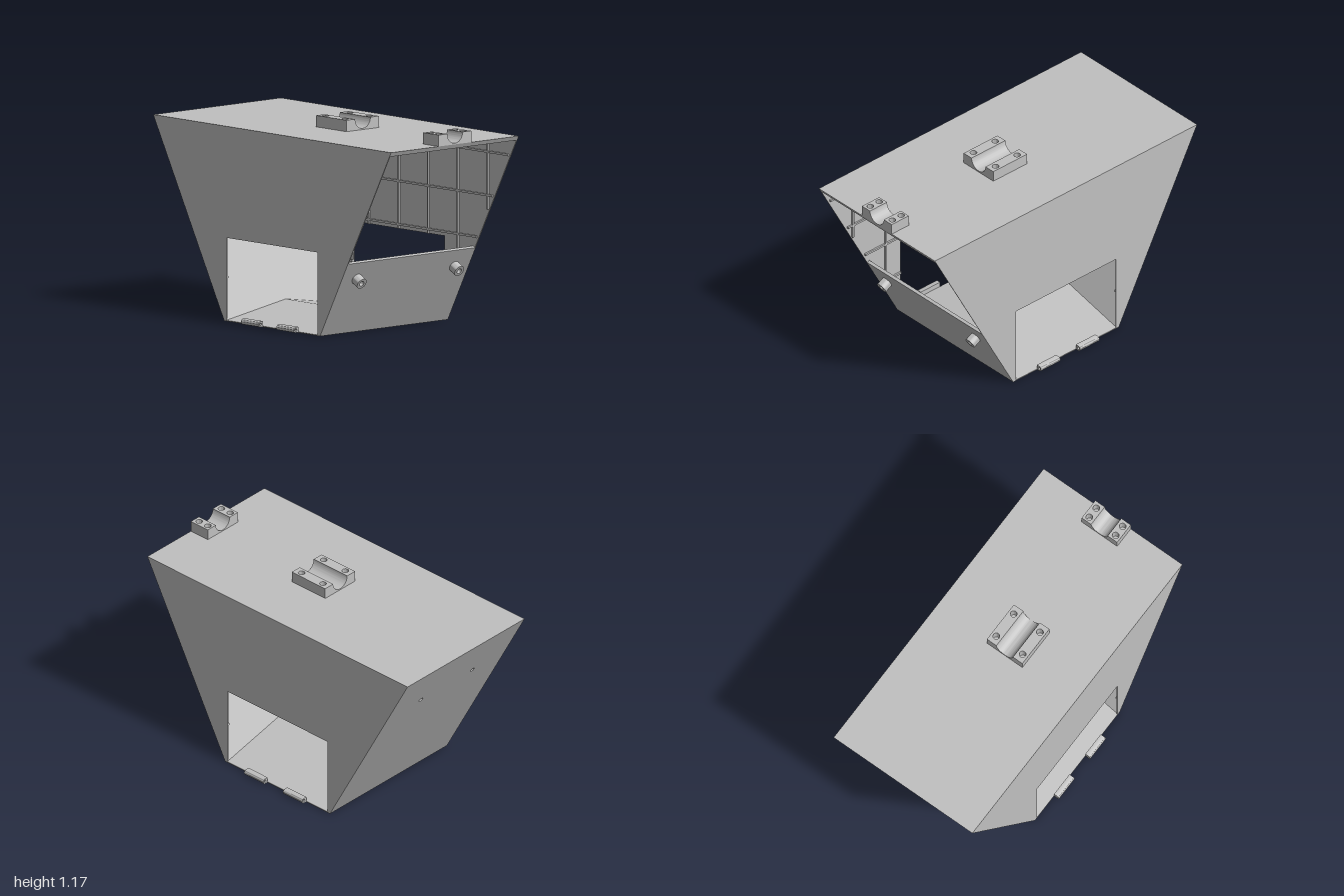
import * as THREE from 'three';
import { toCreasedNormals } from 'three/addons/utils/BufferGeometryUtils.js';

const H = 1.11, BASE = 0.403, TOP = 1.0, HALF_Z = 0.485;
const SLOPE = (TOP - BASE) / H;
const SLANT = Math.hypot(TOP - BASE, H);
const WALL = 0.006, OPEN_X = 0.383, OPEN_Y = 0.475;
const halfWidth = (y) => BASE + SLOPE * y;

export function createModel() {
  const model = new THREE.Group();
  const grey = new THREE.MeshStandardMaterial({ color: 0xc0c0c0 });
  grey.name = 'plain grey';

  const add = (parent, name, geometry, x = 0, y = 0, z = 0) => {
    const mesh = new THREE.Mesh(geometry, grey);
    mesh.name = name;
    mesh.position.set(x, y, z);
    parent.add(mesh);
    return mesh;
  };
  const polygon = (points) => new THREE.Shape(points.map(([x, y]) => new THREE.Vector2(x, y)));
  const rect = (x0, y0, x1, y1) => polygon([[x0, y0], [x1, y0], [x1, y1], [x0, y1]]);
  const hole = (x, y, r) => new THREE.Path().absarc(x, y, r, 0, Math.PI * 2, true);
  const extrude = (shape, depth) => toCreasedNormals(
    new THREE.ExtrudeGeometry(shape, { depth, bevelEnabled: false, curveSegments: 24 }), 0.6);
  // Profile drawn in (z, y), extruded along x and centred
  const extrudeX = (shape, length) =>
    extrude(shape, length).translate(0, 0, -length / 2).rotateY(-Math.PI / 2);

  // Front and back: trapezoid wall with doorway, ribs and hinge knuckles
  function addFace(name, turn) {
    const face = new THREE.Group();
    face.name = name;
    face.rotation.y = turn;
    model.add(face);
    const wall = polygon([
      [-BASE, 0], [-OPEN_X, 0], [-OPEN_X, OPEN_Y], [OPEN_X, OPEN_Y],
      [OPEN_X, 0], [BASE, 0], [TOP, H], [-TOP, H],
    ]);
    add(face, 'trapezoidWall', extrude(wall, WALL), 0, 0, HALF_Z - WALL);

    const ribZ = HALF_Z - WALL - 0.005, w = 0.012;
    for (let i = -3; i <= 3; i++) {
      const x = i * 0.25;
      const y0 = Math.abs(x) > OPEN_X ? (Math.abs(x) - BASE) / SLOPE + 0.02 : OPEN_Y;
      add(face, 'verticalRib', new THREE.BoxGeometry(w, 1.09 - y0, 0.01), x, (1.09 + y0) / 2, ribZ);
    }
    for (const y of [0.5, 0.747, 0.995]) {
      add(face, 'horizontalRib', new THREE.BoxGeometry(2 * halfWidth(y) - 0.03, w, 0.01), 0, y, ribZ);
    }
    const reach = halfWidth(0.25) - 0.015;
    for (const s of [-1, 1]) {
      add(face, 'shortRib', new THREE.BoxGeometry(reach - OPEN_X, w, 0.01),
        s * (reach + OPEN_X) / 2, 0.25, ribZ);
      const knuckle = new THREE.Shape();
      knuckle.moveTo(-0.02, 0.002);
      knuckle.lineTo(0, 0.002);
      knuckle.absarc(0, 0.018, 0.016, -Math.PI / 2, Math.PI / 2, false);
      knuckle.lineTo(-0.02, 0.034);
      knuckle.holes.push(hole(0, 0.018, 0.008));
      // The profile's first axis must point outward along +z
      add(face, 'hingeKnuckle', extrudeX(knuckle, 0.147), s * 0.149, 0, HALF_Z + 0.02);
    }
  }
  addFace('frontFace', 0);
  addFace('backFace', Math.PI);

  // Sloped sides: local x runs along z, local y climbs the slope, local z points inward
  function addSide(name, turn, length, drilled) {
    const side = new THREE.Group();
    side.name = name;
    side.rotation.y = turn;
    model.add(side);
    const up = new THREE.Vector3(TOP - BASE, H, 0).normalize();
    const along = new THREE.Vector3(0, 0, 1);
    const inward = new THREE.Vector3().crossVectors(along, up);
    const panel = new THREE.Group();
    panel.name = name + 'Panel';
    panel.quaternion.setFromRotationMatrix(new THREE.Matrix4().makeBasis(along, up, inward));
    panel.position.x = BASE;
    side.add(panel);
    const sheet = rect(-HALF_Z + 0.001, 0, HALF_Z - 0.001, length);
    if (drilled) for (const z of [-0.213, 0.213]) sheet.holes.push(hole(z, 0.83 * SLANT / H, 0.015));
    add(panel, 'slopedSheet', extrude(sheet, 0.018));
    return panel;
  }
  addSide('rightSide', Math.PI, SLANT - 0.022, true);
  const lowerPanel = addSide('leftSide', 0, 0.435 * SLANT / H, false);

  // Hollow pegs standing square to the lower panel
  for (const z of [-0.37, 0.37]) {
    const ring = new THREE.Shape().absarc(0, 0, 0.033, 0, Math.PI * 2, false);
    ring.holes.push(hole(0, 0, 0.016));
    add(lowerPanel, 'hollowPeg', extrude(ring, 0.052), z, 0.335 * SLANT / H, -0.05);
  }

  // Lid with slanted ends
  const low = 1.085;
  const lid = polygon([[-halfWidth(low), low], [halfWidth(low), low], [TOP, H], [-TOP, H]]);
  add(model, 'topPlate', extrude(lid, 2 * HALF_Z), 0, 0, -HALF_Z);

  // Floor with a low central ridge, ends widened to follow the sloped sides
  const floor = polygon([[-HALF_Z, 0], [HALF_Z, 0], [HALF_Z, 0.005], [0, 0.075], [-HALF_Z, 0.005]]);
  const floorGeometry = extrudeX(floor, 2 * BASE - 0.004);
  const p = floorGeometry.attributes.position;
  for (let i = 0; i < p.count; i++) p.setX(i, p.getX(i) + Math.sign(p.getX(i)) * p.getY(i) * SLOPE);
  floorGeometry.deleteAttribute('normal');
  add(model, 'ridgedFloor', toCreasedNormals(floorGeometry, 0.05));

  // Saddle brackets on the lid: half-round cradle between two drilled blocks
  function addSaddle(x0, x1, holeXs) {
    const saddle = new THREE.Group();
    saddle.name = 'saddleBracket';
    saddle.position.y = H;
    model.add(saddle);
    const r = 0.058, h = 0.065;
    const cradle = new THREE.Shape();
    cradle.moveTo(-r, 0);
    cradle.lineTo(r, 0);
    cradle.lineTo(r, h);
    cradle.absarc(0, h, r, 0, -Math.PI, true);
    add(saddle, 'cradle', extrudeX(cradle, x1 - x0), (x0 + x1) / 2);
    for (const s of [-1, 1]) {
      const block = rect(x0, Math.min(s * r, s * 0.124), x1, Math.max(s * r, s * 0.124));
      for (const x of holeXs) block.holes.push(hole(x, s * 0.092, 0.019));
      add(saddle, 'drilledBlock', extrude(block, h).rotateX(-Math.PI / 2));
    }
  }
  addSaddle(-0.032, 0.225, [0.014, 0.179]);
  addSaddle(0.87, 1.0, [0.899, 0.966]);

  return model;
}
